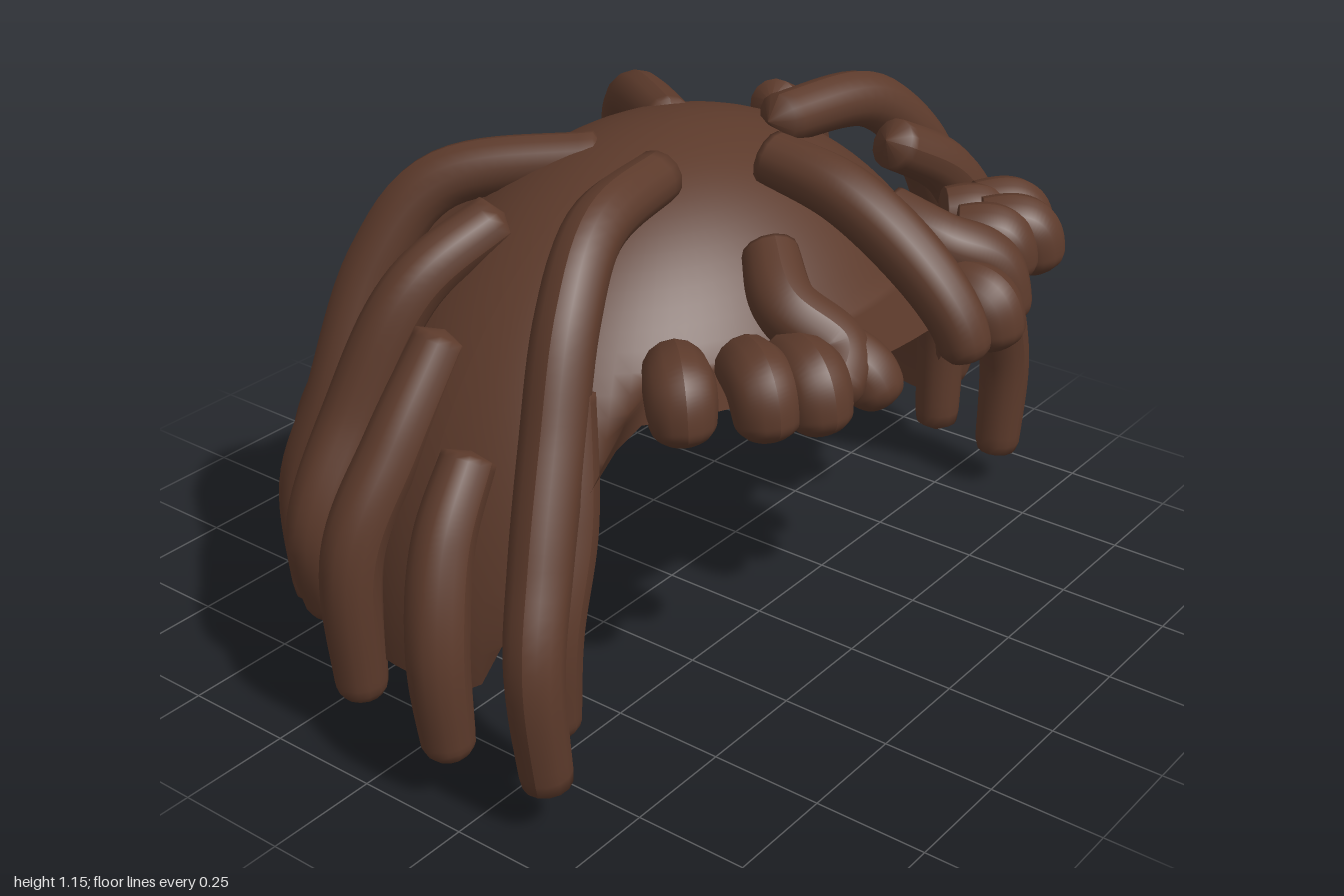
import * as THREE from 'three';

const hair = new THREE.MeshStandardMaterial({ color: 0x5c3a2b, side: THREE.DoubleSide });
hair.name = 'brown hair';

// Dome: half ellipsoid whose hem climbs from the temples to an arched forehead line
function makeCap() {
  const cols = 96, rows = 32, base = 0.2;
  const geo = new THREE.SphereGeometry(1, cols, rows, 0, Math.PI * 2, 0, Math.PI / 2);
  const pos = geo.attributes.position;
  for (let i = 0; i < pos.count; i++) {
    const front = Math.sin((i % (cols + 1)) / cols * Math.PI * 2);
    const rise = THREE.MathUtils.clamp((front - 0.24) / 0.4, 0, 1);
    const brow = 0.78 + 0.05 * front;
    const hem = base + (brow - base) * rise;
    const y = Math.max(base + pos.getY(i) * 0.93, hem);
    pos.setXYZ(i, pos.getX(i) * 0.86, y, pos.getZ(i) * 0.65);
  }
  geo.computeVertexNormals();
  const mesh = new THREE.Mesh(geo, hair);
  mesh.name = 'scalpCap';
  return mesh;
}

// Lock of hair: tube with a blunt root, a fuller middle and a rounded tip
function makeLock(name, points, radius = 0.056) {
  const curve = new THREE.CatmullRomCurve3(points.map(p => new THREE.Vector3(...p)), false, 'centripetal');
  const segs = 48, sides = 14, length = curve.getLength();
  const geo = new THREE.TubeGeometry(curve, segs, radius, sides, false);
  const pos = geo.attributes.position, v = new THREE.Vector3();
  for (let ring = 0; ring <= segs; ring++) {
    const t = ring / segs, centre = curve.getPointAt(t);
    const toTip = Math.min(1, (1 - t) * length / 0.045);
    const tip = Math.sqrt(1 - (1 - toTip) ** 2);
    const size = ring === 0 ? 0 : tip * (1 + 0.2 * Math.sin(Math.PI * t) - 0.06 * t);
    for (let s = 0; s <= sides; s++) {
      const i = ring * (sides + 1) + s;
      v.fromBufferAttribute(pos, i).sub(centre).multiplyScalar(size).add(centre);
      pos.setXYZ(i, v.x, v.y, v.z);
    }
  }
  geo.computeVertexNormals();
  const mesh = new THREE.Mesh(geo, hair);
  mesh.name = name;
  return mesh;
}

// Paths run from root to tip as [x, y, z]
const leftLocks = [
  [[.18, 1.1, .12], [.48, 1.08, .18], [.62, .96, .22], [.72, .8, .23], [.81, .6, .21], [.86, .4, .18], [.86, .09, .18]],
  [[.4, 1.03, .28], [.58, .92, .33], [.68, .77, .36], [.78, .55, .365], [.85, .35, .365], [.85, .08, .36]],
  [[.7, .88, .25], [.8, .7, .22], [.9, .52, .23], [.93, .36, .19], [.91, .2, .16]],
  [[.43, 1.04, -.05], [.62, .92, -.1], [.73, .72, -.15], [.82, .5, -.2], [.86, .25, -.25], [.84, .04, -.28]],
  [[.72, .7, -.12], [.82, .5, -.19], [.88, .3, -.25], [.86, .2, -.25]],
];
const rightLocks = [
  [[-.18, 1.1, .12], [-.48, 1.08, .18], [-.62, .96, .23], [-.73, .75, .28], [-.83, .55, .33], [-.9, .38, .37], [-.88, .09, .38]],
  [[-.66, .85, .26], [-.73, .6, .31], [-.8, .4, .33], [-.8, .16, .33]],
  [[-.76, .7, .1], [-.87, .55, .12], [-.93, .35, .15], [-.92, .1, .16]],
  [[-.62, .85, -.09], [-.77, .65, -.1], [-.88, .45, -.12], [-.88, .1, -.12]],
  [[-.4, 1.02, -.12], [-.59, .9, -.2], [-.72, .65, -.26], [-.83, .42, -.28], [-.77, .18, -.31]],
];
const backLocks = [
  [[.1, 1.07, -.07], [.32, 1.01, -.36], [.41, .87, -.45], [.49, .62, -.51], [.52, .4, -.59], [.5, .04, -.58]],
  [[.52, .66, -.42], [.5, .5, -.47], [.5, .36, -.56], [.52, .2, -.58]],
  [[.34, .8, -.4], [.38, .6, -.48], [.42, .3, -.55], [.43, .01, -.56]],
  [[.28, .93, -.32], [.34, .76, -.46], [.36, .55, -.58], [.37, .38, -.65], [.37, .2, -.64]],
  [[.01, .89, -.46], [0, .75, -.55], [-.04, .55, -.62], [-.06, .4, -.72], [-.04, .18, -.69]],
  [[.05, .66, -.51], [.05, .52, -.59], [.04, .38, -.71], [.02, .18, -.69]],
  [[-.12, 1.07, -.07], [-.34, 1.01, -.36], [-.45, .85, -.44], [-.57, .55, -.48], [-.62, .35, -.53], [-.62, .05, -.52]],
  [[-.14, 1.02, -.3], [-.24, .83, -.46], [-.32, .62, -.54], [-.36, .38, -.66], [-.35, .02, -.67]],
  [[-.38, .86, -.4], [-.46, .62, -.51], [-.5, .4, -.6], [-.52, .01, -.59]],
];
const fringeLocks = [
  [[0, 1.11, .24], [0, 1.07, .44], [.01, .97, .6], [.02, .86, .7], [.03, .77, .73]],
  [[.13, 1.0, .45], [.15, .95, .58], [.22, .9, .66], [.24, .77, .7]],
  [[-.22, 1.02, .41], [-.3, .95, .51], [-.28, .88, .62], [-.37, .82, .66]],
  [[-.3, .9, .52], [-.25, .84, .66], [-.24, .77, .7]],
];
// Short curled ends along the forehead
const curls = [[-.57, .46], [-.46, .57], [-.38, .63], [.13, .7], [.43, .56], [.51, .58], [.59, .51], [.51, .47]];

export function createModel() {
  const model = new THREE.Group();
  model.name = 'wig';
  model.add(makeCap());

  const sets = { leftLock: leftLocks, rightLock: rightLocks, backLock: backLocks, fringeLock: fringeLocks };
  for (const [name, paths] of Object.entries(sets)) {
    const group = new THREE.Group();
    group.name = name + 's';
    paths.forEach((path, i) => group.add(makeLock(`${name}${i + 1}`, path)));
    model.add(group);
  }

  const curlGroup = new THREE.Group();
  curlGroup.name = 'fringeCurls';
  curls.forEach(([x, z], i) => {
    const path = [[x * 0.88, .87, z * 0.85], [x, .86, z], [x * 1.03, .76, z * 1.05]];
    curlGroup.add(makeLock(`fringeCurl${i + 1}`, path, 0.06));
  });
  model.add(curlGroup);
  return model;
}
